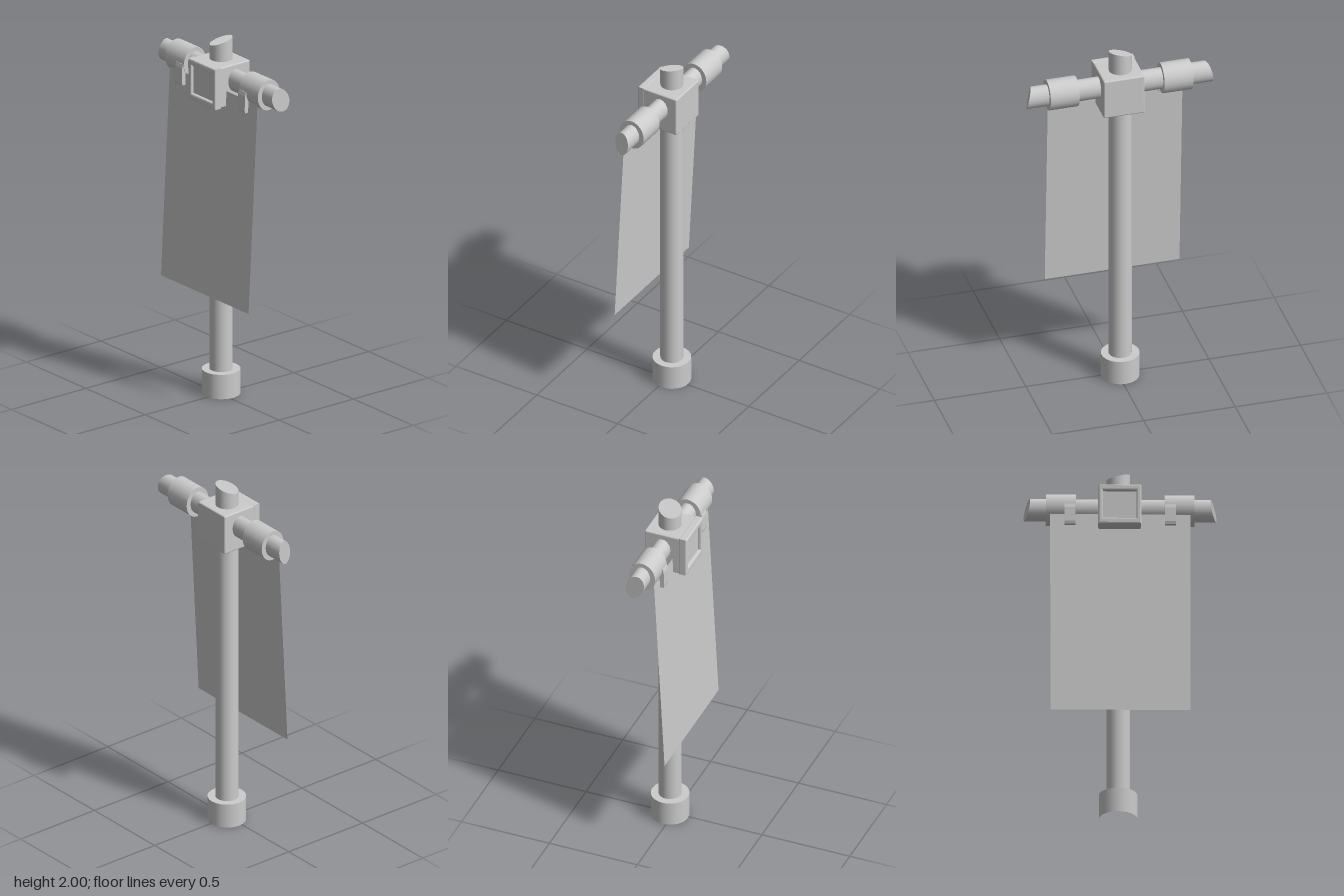
import * as THREE from 'three';
import { RoundedBoxGeometry } from 'three/addons/geometries/RoundedBoxGeometry.js';

const grey = new THREE.MeshStandardMaterial({ color: 0xcccccc });
const cloth = new THREE.MeshStandardMaterial({ color: 0xcccccc, side: THREE.DoubleSide });

function add(parent, name, geometry, x = 0, y = 0, z = 0, material = grey) {
  const mesh = new THREE.Mesh(geometry, material);
  mesh.name = name;
  mesh.position.set(x, y, z);
  parent.add(mesh);
  return mesh;
}

// Slants one end of a geometry: vertices chosen by test are moved by rule
function slant(geometry, test, move) {
  const p = geometry.attributes.position, v = new THREE.Vector3();
  for (let i = 0; i < p.count; i++) {
    v.fromBufferAttribute(p, i);
    if (test(v)) {
      move(v);
      p.setXYZ(i, v.x, v.y, v.z);
    }
  }
  return geometry;
}

// Elliptical cylinder lying along x, from x0 to x1
function lyingCylinder(x0, x1, ry, rz) {
  const g = new THREE.CylinderGeometry(1, 1, x1 - x0, 24);
  g.rotateZ(-Math.PI / 2);
  g.scale(1, ry, rz);
  g.translate((x0 + x1) / 2, 0, 0);
  return g;
}

function square(Type, w, h) {
  const s = new Type();
  s.moveTo(-w / 2, -h / 2);
  s.lineTo(w / 2, -h / 2);
  s.lineTo(w / 2, h / 2);
  s.lineTo(-w / 2, h / 2);
  s.closePath();
  return s;
}

export function createModel() {
  const group = new THREE.Group();
  const px = -0.01, pz = -0.018;

  // Pole with an obliquely cut tip
  const pole = new THREE.CylinderGeometry(0.061, 0.061, 1.878, 24);
  pole.translate(0, 1.039, 0);
  slant(pole, v => v.y > 1.5, v => { v.y += 0.26 * (v.x - v.z); });
  add(group, 'pole', pole, px, 0, pz);

  // Foot sleeve, open underneath
  add(group, 'footWall', new THREE.CylinderGeometry(0.102, 0.102, 0.137, 24, 1, true), px, 0.0685, pz);
  const ledge = new THREE.RingGeometry(0.058, 0.102, 24);
  ledge.rotateX(-Math.PI / 2);
  add(group, 'footLedge', ledge, px, 0.137, pz);

  // Joint block with a framed, recessed front
  const block = new THREE.Group();
  block.name = 'jointBlock';
  block.position.set(-0.004, 1.765, 0);
  group.add(block);
  add(block, 'blockBody', new RoundedBoxGeometry(0.224, 0.226, 0.222, 2, 0.008), 0, 0, -0.009);
  const outline = square(THREE.Shape, 0.226, 0.228);
  outline.holes.push(square(THREE.Path, 0.174, 0.158));
  const frame = new THREE.ExtrudeGeometry(outline, {
    depth: 0.03, bevelEnabled: true, bevelSize: 0.008, bevelOffset: -0.008,
    bevelThickness: 0.008, bevelSegments: 2,
  });
  add(block, 'blockFrame', frame, 0, 0, 0.082);

  // Crossbar with both ends cut obliquely
  const bar = lyingCylinder(-0.49, 0.49, 0.061, 0.047);
  slant(bar, () => true, v => { v.x -= Math.sign(v.x) * (0.18 * v.y + 0.28 * v.z); });
  add(group, 'crossbar', bar, 0, 1.788, -0.019);

  // Cross-section of a hanging clip (z, y)
  const clip = new THREE.Shape([
    [0.036, 1.79], [0.036, 1.68], [0.04, 1.675], [0.062, 1.675],
    [0.066, 1.69], [0.064, 1.77], [0.058, 1.792],
  ].map(([z, y]) => new THREE.Vector2(z, y)));

  for (const side of [-1, 1]) {
    const name = side > 0 ? 'left' : 'right';
    // Bar sleeve
    add(group, name + 'BarSleeve', lyingCylinder(-0.079, 0.079, 0.085, 0.074), side * 0.311, 1.788, -0.019);
    // Clip over the banner's upper edge
    const g = new THREE.ExtrudeGeometry(clip, { depth: 0.058, bevelEnabled: false });
    g.translate(0, 0, -0.029);
    g.rotateY(-Math.PI / 2);
    add(group, name + 'Clip', g, side * 0.264, 0, 0);
  }

  // Thin banner, its lower edge swung forward
  const banner = new THREE.PlaneGeometry(0.736, 1.16);
  banner.translate(0, 1.16, 0);
  slant(banner, () => true, v => { v.z = v.y > 1 ? 0.04 : 0.1; });
  banner.computeVertexNormals();
  add(group, 'banner', banner, 0, 0, 0, cloth);

  return group;
}
